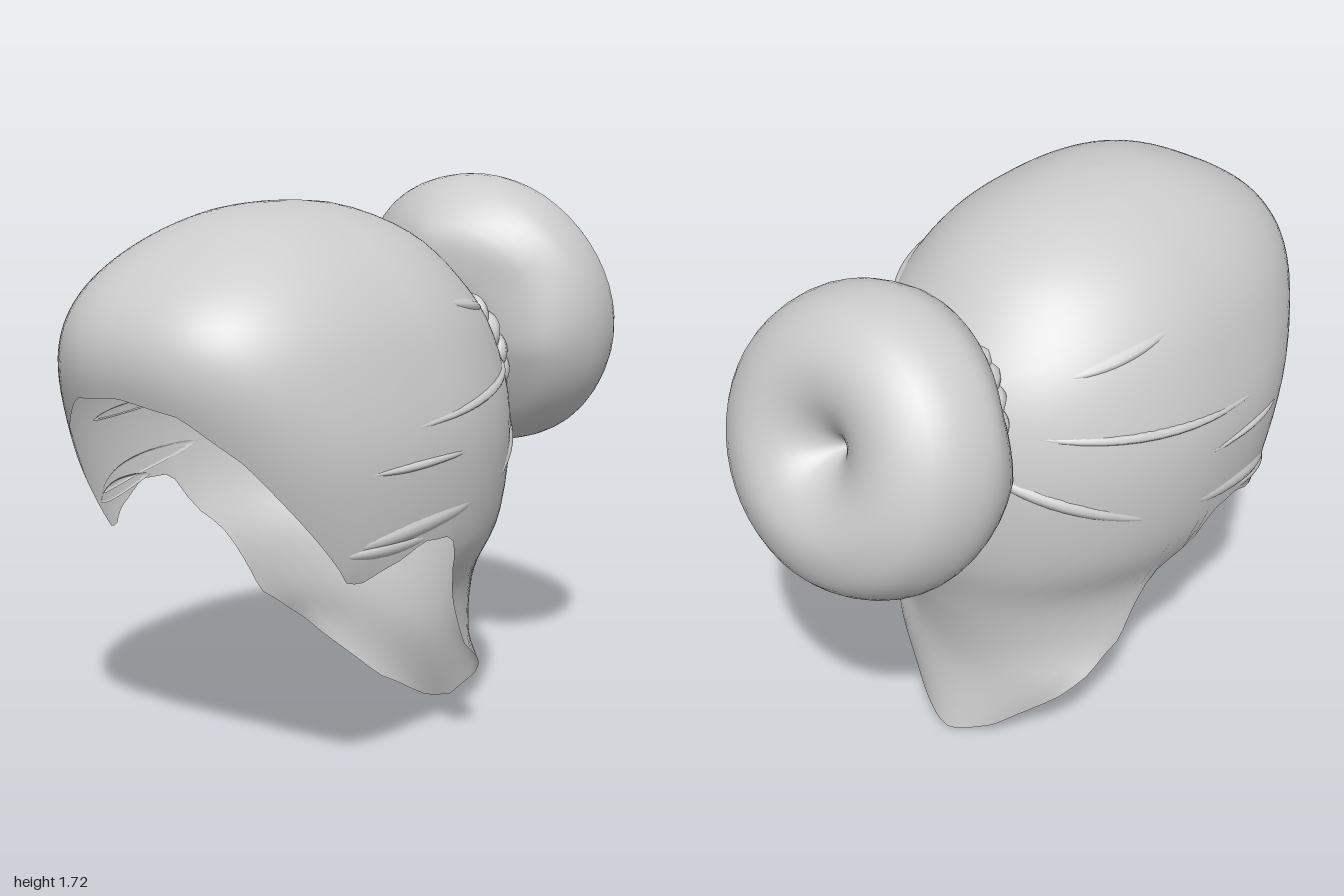
import * as THREE from 'three';
import { mergeVertices } from 'three/addons/utils/BufferGeometryUtils.js';

const RAD = Math.PI / 180;

// Horizontal sections of the hair: height, half width, front z, back z, z of widest point
const SECTIONS = [
  [1.715, 0, 0.35, 0.35, 0.35],
  [1.69, 0.16, 0.56, 0.1, 0.33],
  [1.6, 0.335, 0.78, -0.13, 0.3],
  [1.47, 0.46, 0.95, -0.28, 0.27],
  [1.3, 0.54, 1.0, -0.41, 0.25],
  [1.05, 0.595, 0.92, -0.47, 0.24],
  [0.75, 0.565, 0.8, -0.45, 0.24],
  [0.55, 0.475, 0.75, -0.39, 0.25],
  [0.35, 0.485, 0.7, -0.345, 0.25],
  [0.2, 0.56, 0.7, -0.34, 0.25],
  [0, 0.34, 0.7, -0.385, 0.25],
];

// Lower edge: angle from the front in degrees, height
const HEM = [
  [0, 1.23], [16, 1.2], [31, 1.07], [43, 0.9], [57, 0.7], [62, 0.69], [70, 0.73], [76, 0.75],
  [83, 0.79], [92, 0.78], [98, 0.66], [104, 0.6], [112, 0.47], [119, 0.36], [140, 0.235],
  [158, 0.05], [172, 0.01], [180, 0],
];

// Smooth interpolation between sections
function section(r) {
  const last = SECTIONS.length - 1;
  const i = Math.min(Math.floor(r), last - 1);
  const t = r - i;
  const at = (k) => SECTIONS[Math.max(0, Math.min(last, k))];
  return SECTIONS[0].map((_, c) => {
    const [p, q, s, u] = [at(i - 1)[c], at(i)[c], at(i + 1)[c], at(i + 2)[c]];
    return q + 0.5 * t * (s - p + t * (2 * p - 5 * q + 4 * s - u + t * (3 * (q - s) + u - p)));
  });
}

// Section index at a given height
function rowAt(y) {
  let lo = 0.5, hi = SECTIONS.length - 1;
  for (let k = 0; k < 30; k++) {
    const mid = (lo + hi) / 2;
    if (section(mid)[0] > y) lo = mid; else hi = mid;
  }
  return (lo + hi) / 2;
}

function hemHeight(deg) {
  const d = Math.min(180, Math.abs(deg));
  const i = Math.max(1, HEM.findIndex((h) => h[0] >= d));
  const [a, b] = [HEM[i - 1], HEM[i]];
  return a[1] + (b[1] - a[1]) * (d - a[0]) / (b[0] - a[0]);
}

// Point on the hair: boxier in front, rounder behind
function hairPoint(deg, r) {
  const [y, w, zf, zb, zc] = section(r);
  const s = Math.sin(deg * RAD), c = Math.cos(deg * RAD);
  const p = c > 0 ? 0.8 : 1;
  const x = w * Math.sign(s) * Math.abs(s) ** p;
  const z = zc + Math.sign(c) * Math.abs(c) ** p * (c > 0 ? zf - zc : zc - zb);
  return new THREE.Vector3(x, y, z);
}

// Surface from a grid of points
function gridGeometry(rows, cols, pointAt) {
  const pos = [], index = [];
  for (let i = 0; i <= rows; i++) {
    for (let j = 0; j <= cols; j++) pos.push(...pointAt(i / rows, j / cols).toArray());
  }
  for (let i = 0; i < rows; i++) {
    for (let j = 0; j < cols; j++) {
      const a = i * (cols + 1) + j, b = a + cols + 1;
      index.push(a, b, a + 1, b, b + 1, a + 1);
    }
  }
  const g = new THREE.BufferGeometry();
  g.setAttribute('position', new THREE.Float32BufferAttribute(pos, 3));
  g.setIndex(index);
  const merged = mergeVertices(g, 1e-5);
  merged.computeVertexNormals();
  return merged;
}

// Flat raised lock that tapers to both ends
function lockGeometry([a0, y0, a1, y1, width], side) {
  const core = new THREE.Vector3(0, 1, 0.25);
  return gridGeometry(4, 14, (v, u) => {
    const half = 0.5 * width * Math.sin(Math.PI * u) ** 0.7;
    const y = y0 + (y1 - y0) * u - (v * 2 - 1) * half;
    const p = hairPoint(side * (a0 + (a1 - a0) * u), rowAt(y));
    const out = p.clone().sub(core).setY(0).normalize();
    return p.addScaledVector(out, -0.004 + 0.015 * Math.sin(Math.PI * v) * Math.sin(Math.PI * u));
  });
}

// One strand of the twisted hair tie, peaked forward at the top
class TieStrand extends THREE.Curve {
  constructor(phase) { super(); this.phase = phase; }
  getPoint(t, target = new THREE.Vector3()) {
    const a = t * Math.PI * 2, b = a * 11 + this.phase;
    const r = 0.235 + 0.016 * Math.cos(b);
    const peak = Math.max(0, Math.sin(a)) ** 4;
    return target.set(r * Math.cos(a), 0.016 * Math.sin(b) - 0.065 * peak, r * Math.sin(a) * 1.09);
  }
}

// Bun with a dimple behind and a gathered neck in front
function bunGeometry() {
  const profile = new THREE.SplineCurve([
    [0, -0.35], [0.07, -0.31], [0.13, -0.26], [0.2, -0.24], [0.28, -0.225], [0.38, -0.18],
    [0.445, -0.07], [0.455, 0.04], [0.4, 0.17], [0.28, 0.245], [0.16, 0.235], [0.06, 0.165], [0, 0.08],
  ].map(([r, h]) => new THREE.Vector2(r, h)));
  const points = profile.getPoints(44);
  points.forEach((p) => { p.x = Math.max(0, p.x); });
  const g = new THREE.LatheGeometry(points, 48);

  // Sweep the upper front face back on both sides of a central ridge
  const pos = g.attributes.position;
  for (let i = 0; i < pos.count; i++) {
    const front = Math.min(1, Math.max(0, -pos.getY(i) / 0.2));
    const upper = Math.min(1, Math.max(0, pos.getZ(i) / 0.2));
    pos.setY(i, pos.getY(i) + front * upper * (0.25 * Math.abs(pos.getX(i)) - 0.03));
  }
  g.deleteAttribute('uv');
  g.deleteAttribute('normal');
  const merged = mergeVertices(g, 1e-5);
  merged.computeVertexNormals();
  return merged;
}

export function createModel() {
  const model = new THREE.Group();
  const hair = new THREE.MeshStandardMaterial({ color: 0xcccccc, side: THREE.DoubleSide });
  hair.name = 'light grey hair';
  const add = (name, geometry, parent = model) => {
    const mesh = new THREE.Mesh(geometry, hair);
    mesh.name = name;
    parent.add(mesh);
    return mesh;
  };

  // Swept-back hair, open over the face, with a long nape
  add('hairShell', gridGeometry(32, 120, (v, u) => {
    const deg = u * 360 - 180;
    return hairPoint(deg, v * rowAt(hemHeight(deg)));
  }));

  // Loose locks on both sides
  const locks = [
    [112, 0.87, 165, 1.12, 0.05], [58, 0.8, 102, 0.87, 0.06], [65, 1.02, 97, 1.03, 0.03],
    [75, 1.12, 150, 1.22, 0.035], [105, 1.44, 140, 1.37, 0.04], [54, 0.78, 86, 0.8, 0.05],
  ];
  for (const side of [1, -1]) {
    for (const lock of locks) add(side > 0 ? 'leftLock' : 'rightLock', lockGeometry(lock, side));
  }

  // Bun and tie share one axis, tilted up and back
  const knot = new THREE.Group();
  knot.name = 'topKnot';
  knot.position.set(0, 1.265, -0.68);
  knot.rotation.x = -72 * RAD;
  model.add(knot);
  add('bun', bunGeometry(), knot);

  // Twisted tie around the neck of the bun
  for (const phase of [0, Math.PI]) {
    const strand = add('hairTie', new THREE.TubeGeometry(new TieStrand(phase), 220, 0.028, 8, true), knot);
    strand.position.y = -0.265;
  }
  return model;
}
